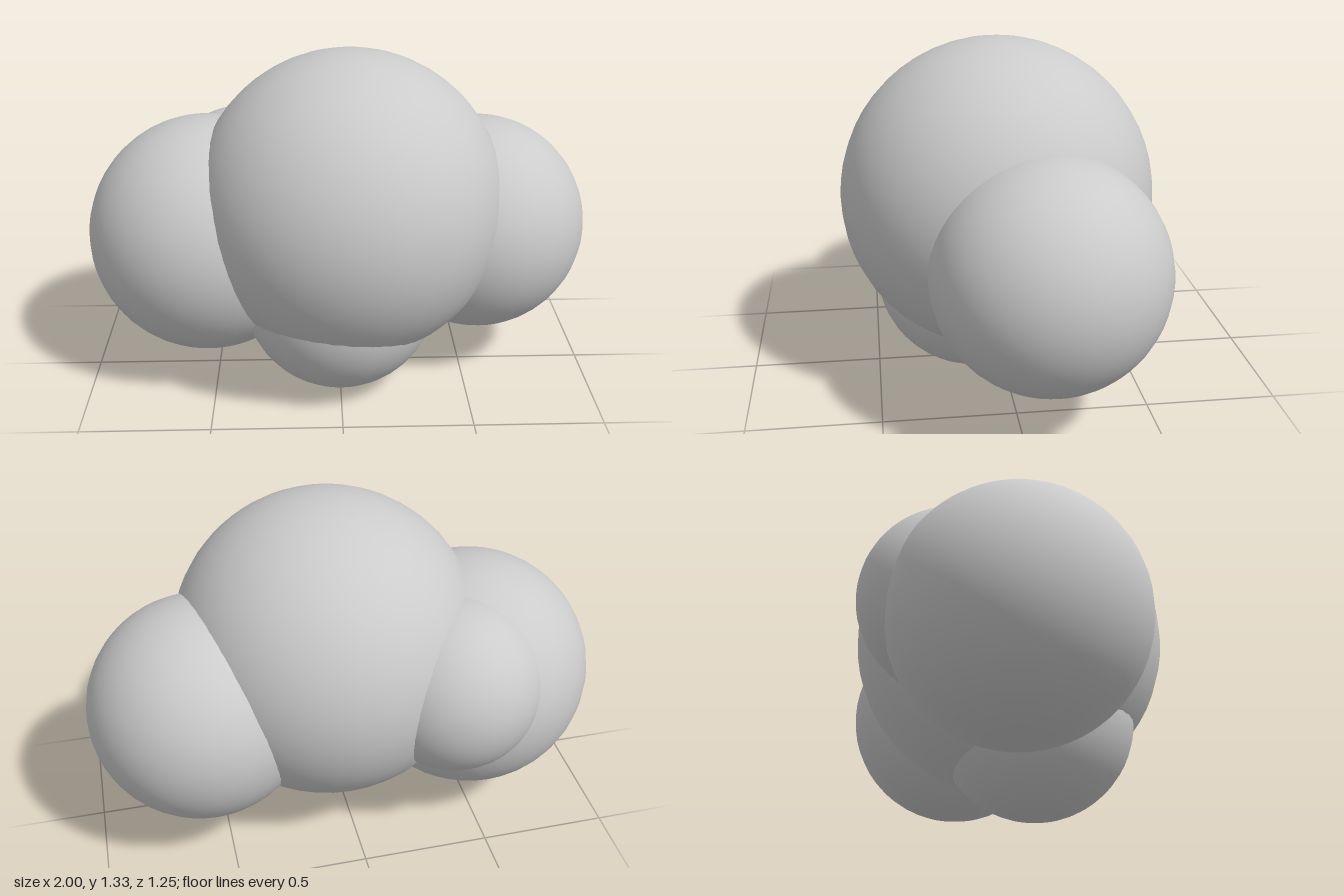
import * as THREE from 'three';

// Space-filling cluster of overlapping smooth balls: name, radius, centre
const BALLS = [
  ['coreBall', 0.606, [0.04, 0.725, 0.018]],
  ['rightBall', 0.475, [-0.525, 0.57, -0.07]],
  ['leftBall', 0.434, [0.562, 0.587, -0.11]],
  ['bottomBall', 0.385, [0, 0.385, 0.11]],
  ['backBall', 0.345, [-0.39, 0.67, -0.285]],
];

export function createModel() {
  const model = new THREE.Group();
  model.name = 'ballCluster';
  const material = new THREE.MeshStandardMaterial({ color: 0xcccccc });

  for (const [name, radius, centre] of BALLS) {
    const ball = new THREE.Mesh(new THREE.SphereGeometry(radius, 40, 28), material);
    ball.name = name;
    ball.position.set(...centre);
    model.add(ball);
  }
  return model;
}
